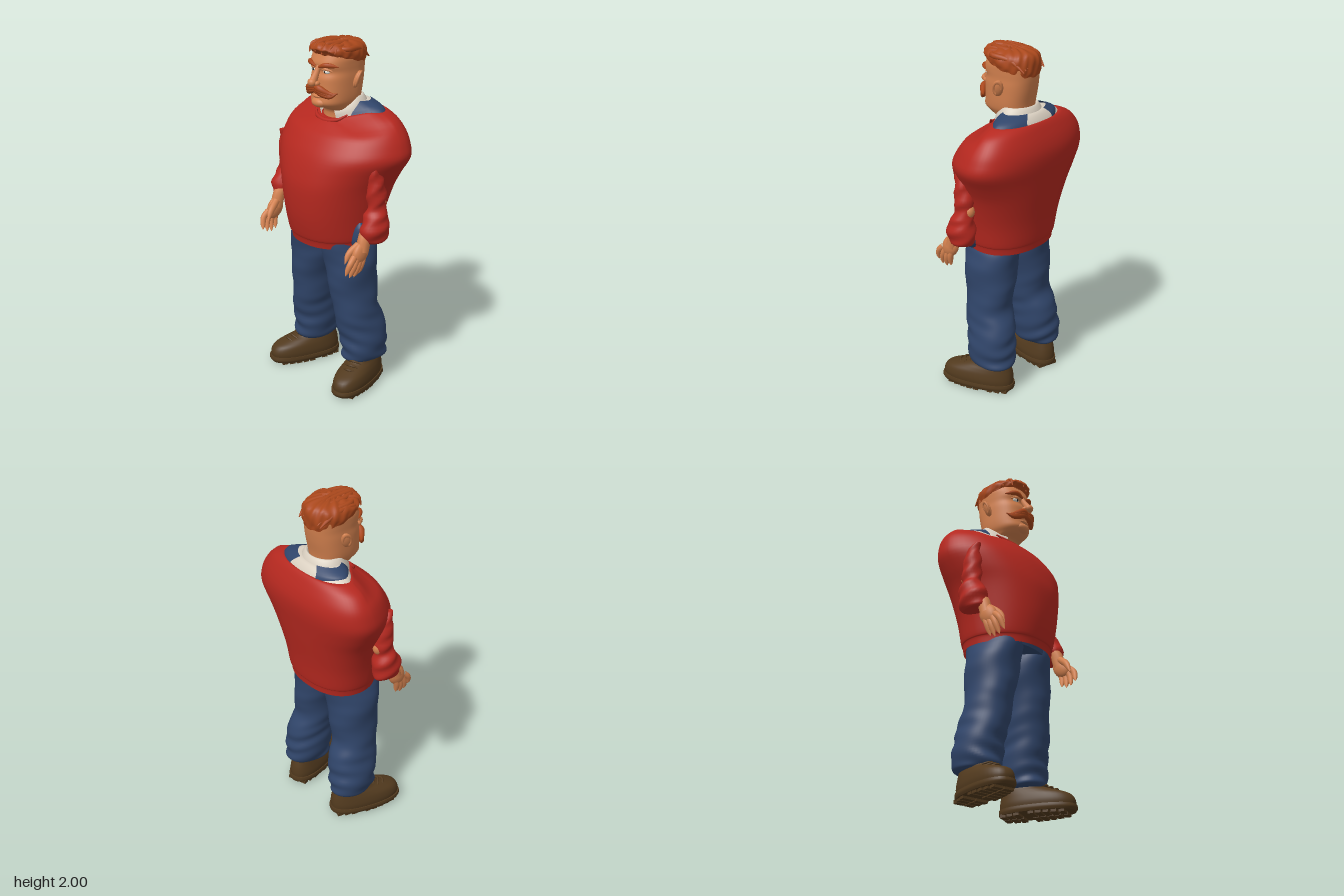
import * as THREE from 'three';

const mat = (name, color, side = THREE.FrontSide) => {
  const m = new THREE.MeshStandardMaterial({ color, side });
  m.name = name;
  return m;
};
const clamp = THREE.MathUtils.clamp;
const spow = (v, p) => Math.sign(v) * Math.abs(v) ** p;

// Smooth loft through rounded sections [y, centreX, halfWidth, zFront, zBack, zWidest], bottom to top.
function loft(sections, { n = 40, sub = 4, p = 1, pf = p, from = 0, to = Math.PI * 2, caps = true, warp } = {}) {
  const rows = [];
  const at = (i) => sections[clamp(i, 0, sections.length - 1)];
  for (let i = 0; i < sections.length - 1; i++) {
    for (let k = 0; k < sub; k++) {
      const t = k / sub;
      rows.push(at(i).map((b, c) => {
        const a = at(i - 1)[c], d = at(i + 1)[c], e = at(i + 2)[c];
        return b + 0.5 * t * (d - a + t * (2 * a - 5 * b + 4 * d - e + t * (3 * (b - d) + e - a)));
      }));
    }
  }
  rows.push(at(sections.length - 1));
  const closed = to - from > 6.28, cols = closed ? n : n + 1;
  const pos = [], idx = [], v = new THREE.Vector3();
  for (const [y, cx, rx, zf, zb, zw] of rows) {
    for (let i = 0; i < cols; i++) {
      const a = from + (to - from) * i / n, s = Math.sin(a);
      v.set(cx + rx * spow(Math.cos(a), p), y, zw + (s > 0 ? (zf - zw) * s ** pf : (zw - zb) * spow(s, p)));
      if (warp) warp(v, a, y);
      pos.push(v.x, v.y, v.z);
    }
  }
  for (let j = 0; j < rows.length - 1; j++) {
    for (let i = 0; i < n; i++) {
      const a = j * cols + i, b = j * cols + (i + 1) % cols;
      idx.push(a, a + cols, b, b, a + cols, b + cols);
    }
  }
  if (closed && caps) {
    for (const [j, top] of [[0, false], [rows.length - 1, true]]) {
      const start = pos.length / 3, c = [0, 0, 0];
      for (let i = 0; i < n * 3; i++) {
        pos.push(pos[j * n * 3 + i]);
        c[i % 3] += pos[j * n * 3 + i] / n;
      }
      pos.push(...c);
      for (let i = 0; i < n; i++) {
        const a = start + i, b = start + (i + 1) % n;
        idx.push(...(top ? [a, start + n, b] : [b, start + n, a]));
      }
    }
  }
  const g = new THREE.BufferGeometry();
  g.setAttribute('position', new THREE.Float32BufferAttribute(pos, 3));
  g.setIndex(idx);
  g.computeVertexNormals();
  return g;
}

// Tube along points whose radius follows a list of radii.
function taper(points, radii, seg = 14) {
  const curve = new THREE.CatmullRomCurve3(points.map((q) => new THREE.Vector3(...q)));
  const g = new THREE.TubeGeometry(curve, seg, 1, 10), pos = g.attributes.position, v = new THREE.Vector3();
  for (let i = 0; i < pos.count; i++) {
    const t = Math.floor(i / 11) / seg, f = t * (radii.length - 1), k = Math.min(Math.floor(f), radii.length - 2);
    const c = curve.getPointAt(t);
    v.fromBufferAttribute(pos, i).sub(c).multiplyScalar(THREE.MathUtils.lerp(radii[k], radii[k + 1], f - k)).add(c);
    pos.setXYZ(i, v.x, v.y, v.z);
  }
  return g;
}
const ball = (x, y, z, rx, ry, rz) => new THREE.SphereGeometry(1, 20, 14).scale(rx, ry, rz).translate(x, y, z);

// Lowers the neckline at the front and pinches it towards the middle.
const neckDip = (pinch) => (v, a, y) => {
  if (y <= 1.5) return;
  v.y -= (y - 1.5) * 0.41 * clamp((v.z + 0.05) / 0.12, 0, 1);
  v.x *= 1 - pinch * clamp((y - 1.53) / 0.08, 0, 1) * clamp((v.z + 0.1) / 0.13, 0, 1);
};

export function createModel() {
  const red = mat('sweaterRed', 0xb5281f, THREE.DoubleSide), denim = mat('denimBlue', 0x30456a, THREE.DoubleSide);
  const skin = mat('skin', 0xd2804e), hair = mat('gingerHair', 0xa9471b), brown = mat('bootBrown', 0x523a1e);
  const cream = mat('shirtCream', 0xd9cfc0, THREE.DoubleSide), white = mat('eyeWhite', 0xe4e0d6), dark = mat('pupilDark', 0x2a2320);
  const model = new THREE.Group();
  model.name = 'man';
  const group = (name) => {
    const g = new THREE.Group();
    g.name = name;
    model.add(g);
    return g;
  };
  const add = (parent, name, geo, m) => {
    const mesh = new THREE.Mesh(geo, m);
    mesh.name = name;
    parent.add(mesh);
    return mesh;
  };

  // Broad sweater: wide across the back, narrowing to the belly, open at the hem
  const torso = group('torso'), warp = neckDip(0.38);
  add(torso, 'sweater', loft([
    [0.868, 0, 0.257, 0.238, -0.2, 0], [0.905, 0, 0.263, 0.246, -0.205, 0], [0.925, 0, 0.273, 0.258, -0.212, 0],
    [1.05, 0, 0.295, 0.283, -0.228, -0.01], [1.2, 0, 0.338, 0.29, -0.255, -0.04], [1.3, 0, 0.388, 0.272, -0.272, -0.06],
    [1.39, 0.008, 0.432, 0.24, -0.286, -0.08], [1.46, 0.004, 0.421, 0.198, -0.288, -0.09], [1.52, 0, 0.393, 0.152, -0.274, -0.1],
    [1.575, 0, 0.345, 0.112, -0.25, -0.1], [1.605, 0, 0.285, 0.088, -0.232, -0.1], [1.614, 0, 0.245, 0.075, -0.218, -0.1],
    [1.6, 0, 0.2, 0.05, -0.2, -0.1]], { n: 64, p: 0.86, pf: 1.18, caps: false, warp }), red);
  add(torso, 'neckband', taper([[-0.125, 1.6, 0.03], [-0.08, 1.568, 0.068], [0, 1.556, 0.085], [0.08, 1.568, 0.068], [0.125, 1.6, 0.03]],
    [0.004, 0.013, 0.013, 0.004]), red);
  const yoke = [[1.59, 0, 0.265, 0.05, -0.225, -0.1], [1.625, 0, 0.23, 0.04, -0.21, -0.1], [1.655, 0, 0.15, 0.03, -0.18, -0.09], [1.65, 0, 0.1, 0.02, -0.13, -0.07]];
  const openFront = (gap) => ({ from: Math.PI / 2 + gap, to: Math.PI * 2.5 - gap });
  add(torso, 'shirtShoulders', loft(yoke, { ...openFront(0.55), warp }), cream);
  const lifted = yoke.slice(0, 3).map(([y, c, r, f, b, w]) => [y + 0.006, c, r + 0.003, f, b - 0.004, w]);
  add(torso, 'leftStrap', loft(lifted, { n: 16, from: -1.12, to: 0.8, warp }), denim);
  add(torso, 'rightStrap', loft(lifted.map(([y, c, r, ...z]) => [y + 0.003, c, Math.min(r, 0.22), ...z]),
    { n: 16, from: Math.PI - 0.8, to: Math.PI + 1.12, warp }), denim);
  add(torso, 'collar', loft([[1.6, 0, 0.16, 0.06, -0.19, -0.05], [1.65, 0, 0.142, 0.065, -0.178, -0.05], [1.685, 0, 0.116, 0.06, -0.155, -0.05],
    [1.67, 0, 0.1, 0.05, -0.14, -0.05]], { ...openFront(0.42), warp: neckDip(0.12) }), cream);
  add(torso, 'hipPocket', loft([[0.885, 0.25, 0.025, 0.1, 0.04, 0.07], [0.93, 0.26, 0.042, 0.11, 0.02, 0.07],
    [1.0, 0.27, 0.033, 0.1, 0.03, 0.07], [1.03, 0.27, 0.01, 0.08, 0.06, 0.07]], { n: 20 }), denim);
  add(torso, 'trouserSeat', loft([[0.872, 0, 0.235, 0.2, -0.175, 0], [0.96, 0, 0.24, 0.21, -0.18, 0]], { p: 0.9 }), denim);

  // Head with square jaw and thick neck
  const head = group('head');
  add(head, 'headAndNeck', loft([
    [1.54, 0, 0.1, 0.05, -0.14, -0.04], [1.605, 0, 0.096, 0.05, -0.13, -0.04], [1.632, 0, 0.097, 0.108, -0.13, -0.03],
    [1.66, 0, 0.11, 0.142, -0.132, -0.02], [1.7, 0, 0.117, 0.138, -0.137, -0.02], [1.76, 0, 0.12, 0.136, -0.15, -0.02],
    [1.8, 0, 0.121, 0.134, -0.157, -0.02], [1.835, 0, 0.12, 0.122, -0.162, -0.02], [1.872, 0, 0.122, 0.135, -0.165, -0.02],
    [1.91, 0, 0.122, 0.124, -0.165, -0.02], [1.95, 0, 0.105, 0.105, -0.145, -0.02], [1.975, 0, 0.05, 0.06, -0.09, -0.02]], { n: 48, p: 0.82 }), skin);
  add(head, 'noseBridge', taper([[0, 1.87, 0.12], [0, 1.83, 0.14], [0, 1.785, 0.168]], [0.012, 0.017, 0.023]), skin);
  add(head, 'noseTip', ball(0, 1.782, 0.173, 0.025, 0.023, 0.025), skin);
  add(head, 'chin', ball(0, 1.664, 0.122, 0.05, 0.028, 0.036), skin);
  add(head, 'lowerLip', ball(0, 1.7, 0.136, 0.035, 0.01, 0.014), skin);
  for (const [s, side] of [[1, 'left'], [-1, 'right']]) {
    add(head, side + 'Nostril', ball(s * 0.022, 1.777, 0.155, 0.013, 0.013, 0.018), skin);
    add(head, side + 'Ear', ball(0, 0, 0, 0.016, 0.05, 0.028), skin).position.set(s * 0.135, 1.79, -0.03);
    head.children.at(-1).rotation.set(-0.2, s * 0.5, -s * 0.2);
    const rim = add(head, side + 'EarRim', new THREE.TorusGeometry(0.022, 0.007, 8, 20, 4.6).scale(1, 1.7, 1).rotateY(Math.PI / 2), skin);
    rim.position.set(s * 0.145, 1.793, -0.033);
    rim.rotation.set(-0.2, s * 0.5, -s * 0.2);
    add(head, side + 'Eye', ball(s * 0.048, 1.838, 0.111, 0.022, 0.012, 0.014), white);
    add(head, side + 'Pupil', ball(s * 0.046, 1.838, 0.121, 0.007, 0.008, 0.006), dark);
    add(head, side + 'Lid', taper([[s * 0.02, 1.845, 0.12], [s * 0.05, 1.853, 0.121], [s * 0.08, 1.843, 0.1]], [0.004, 0.009, 0.004]), skin);
    add(head, side + 'Brow', taper([[s * 0.012, 1.862, 0.136], [s * 0.06, 1.877, 0.128], [s * 0.11, 1.868, 0.08]], [0.006, 0.014, 0.013, 0.002]), hair);
    for (let k = 0; k < 3; k++) {
      add(head, side + 'Moustache', taper([[-s * 0.004, 1.757 - k * 0.009, 0.15], [s * 0.035, 1.752 - k * 0.012, 0.157 - k * 0.003],
        [s * 0.085, 1.724 - k * 0.007, 0.122], [s * 0.113, 1.724 + k * 0.003, 0.094]], [0.013, 0.019, 0.014, 0.002]), hair);
    }
  }

  // Swept hair, cropped at the sides and lower at the back
  add(head, 'hairCap', loft([
    [1.9, 0, 0.124, 0.118, -0.168, -0.02], [1.925, 0, 0.131, 0.132, -0.175, -0.02], [1.952, 0, 0.126, 0.148, -0.172, -0.02],
    [1.976, 0, 0.098, 0.136, -0.145, -0.02], [1.989, 0, 0.058, 0.1, -0.09, -0.01], [1.992, 0, 0.01, 0.02, -0.02, 0]],
  { n: 96, p: 0.92, warp: (v, a, y) => {
    const low = clamp((1.96 - y) / 0.06, 0, 1), r = 1 + 0.014 * (Math.sin(a * 19 + y * 60) + Math.sin(a * 7 - y * 90)) * (y > 1.91 ? 1 : 0);
    v.x *= r;
    v.z *= r;
    v.y += low * (v.z > 0 ? 0.2 * v.z : 0.3 * v.z) + 0.003 * Math.sin(a * 13);
  } }), hair);
  for (let i = 0; i < 11; i++) {
    const x = (i - 5) * 0.021, w = Math.sin(i * 2.4) * 0.016, drop = x * x * 2.6;
    add(head, 'hairLock', taper([[x * 1.08 + w, 1.95 + w - drop, 0.142 - drop * 2.5], [x + w, 1.98 - drop, 0.125 - drop * 2.5], [x - w, 1.985 - drop, 0.02],
      [x * 0.95, 1.968 - drop, -0.09], [x * 0.8, 1.913 - drop, -0.165]], [0.003, 0.016, 0.017, 0.015, 0.003]), hair);
  }

  // Sleeves, forearms and relaxed hands; the right arm hangs slightly higher
  for (const [s, side, dx, dy, dz] of [[1, 'left', 0, 0, 0], [-1, 'right', 0.006, 0.065, 0.015]]) {
    const arm = group(side + 'Arm');
    const X = (x) => s * (x + dx);
    add(arm, side + 'Sleeve', loft([
      [0.945, 0.36, 0.045, 0.11, -0.02, 0.045], [0.965, 0.36, 0.062, 0.128, -0.035, 0.045], [1.03, 0.362, 0.07, 0.132, -0.04, 0.04],
      [1.09, 0.36, 0.062, 0.105, -0.03, 0.035], [1.13, 0.355, 0.048, 0.082, -0.025, 0.03], [1.2, 0.353, 0.05, 0.085, -0.03, 0.03],
      [1.3, 0.353, 0.04, 0.08, -0.005, 0.04], [1.4, 0.355, 0.012, 0.08, 0.04, 0.06]
    ].map(([y, c, r, f, b, w]) => [y + (y > 1.35 ? dy * 0.3 : dy), X(c), r, f + dz, b + dz, w + dz]), { n: 28, warp: (v, a, y) => {
      v.x += 0.005 * Math.sin(y * 75 + a * 2);
      v.z += 0.004 * Math.sin(y * 62 + a);
    } }), red);
    add(arm, side + 'Elbow', ball(X(0.352), 1.145 + dy, -0.008 + dz, 0.03, 0.038, 0.03), skin);
    add(arm, side + 'Forearm', taper([[X(0.325), 1.06 + dy, 0.02 + dz], [X(0.345), 0.985 + dy, 0.1 + dz], [X(0.35), 0.9 + dy, 0.13 + dz]], [0.03, 0.037, 0.036]), skin);
    const palm = add(arm, side + 'Palm', ball(0, 0, 0, 0.031, 0.068, 0.052), skin);
    palm.position.set(X(0.348), 0.895 + dy, 0.14 + dz);
    palm.rotation.x = -0.55;
    for (let k = 0; k < 4; k++) {
      const z = 0.12 + k * 0.022 + dz, reach = [0.012, 0, 0.006, 0.026][k];
      add(arm, side + 'Finger', taper([[X(0.351), 0.885 + dy, z], [X(0.355), 0.825 + dy + reach, z + 0.016 + k * 0.006],
        [X(0.338), 0.759 + dy + reach, z + 0.028 + k * 0.009]], [0.019, 0.0185, 0.0175, 0.0165, 0.013, 0.002]), skin);
    }
    add(arm, side + 'Thumb', taper([[X(0.335), 0.94 + dy, 0.14 + dz], [X(0.318), 0.895 + dy, 0.195 + dz], [X(0.312), 0.84 + dy, 0.222 + dz]],
      [0.021, 0.021, 0.017, 0.002]), skin);
  }

  // Baggy trouser legs with folds gathering towards the cuffs
  for (const [s, side] of [[1, 'left'], [-1, 'right']]) {
    const leg = group(side + 'Leg');
    add(leg, side + 'Trouser', loft([
      [0.155, 0.202, 0.09, 0.085, -0.15, -0.03], [0.18, 0.203, 0.111, 0.1, -0.17, -0.03], [0.27, 0.199, 0.122, 0.11, -0.172, -0.03],
      [0.4, 0.186, 0.121, 0.13, -0.158, -0.01], [0.5, 0.171, 0.117, 0.147, -0.122, 0], [0.6, 0.16, 0.12, 0.157, -0.128, 0.01],
      [0.75, 0.142, 0.136, 0.173, -0.137, 0.02], [0.84, 0.13, 0.13, 0.185, -0.145, 0.02], [0.88, 0.125, 0.121, 0.19, -0.15, 0.02],
      [0.93, 0.12, 0.11, 0.19, -0.15, 0.02]
    ].map(([y, c, ...r]) => [y, s * c, ...r]), { n: 48, sub: 8, p: 0.92, warp: (v, a, y) => {
      const k = 0.001 + 0.007 * clamp((0.5 - y) / 0.3, 0, 1);
      const f = k * Math.sin(y * 66 + Math.cos(a + s) * 3.2) * (0.6 + 0.4 * Math.sin(a * 2 + y * 17)) + 0.003 * Math.sin(y * 27 + a * 2);
      v.x += f * Math.cos(a);
      v.z += f * Math.sin(a);
    } }), denim);
  }

  // Work boots turned outward, with lugged soles and laces
  for (const [s, side] of [[1, 'left'], [-1, 'right']]) {
    const boot = group(side + 'Boot');
    boot.position.set(s * 0.205, 0, -0.05);
    boot.rotation.y = s * 0.29;
    add(boot, side + 'Upper', loft([
      [0.035, 0, 0.09, 0.307, -0.116, 0.1], [0.07, 0, 0.094, 0.312, -0.118, 0.1], [0.108, 0, 0.088, 0.29, -0.114, 0.09],
      [0.136, 0, 0.078, 0.22, -0.107, 0.05], [0.165, 0, 0.068, 0.14, -0.1, 0.01], [0.23, 0, 0.066, 0.1, -0.098, 0]], { p: 0.85 }), brown);
    add(boot, side + 'Sole', loft([[0.014, 0, 0.093, 0.311, -0.121, 0.1], [0.03, 0, 0.099, 0.321, -0.124, 0.1], [0.048, 0, 0.097, 0.318, -0.122, 0.1]],
      { p: 0.82 }), brown);
    for (let i = 0; i < 9; i++) {
      const z = -0.085 + i * 0.042, w = 0.05 + 0.032 * Math.sin(clamp((z + 0.11) / 0.4, 0, 1) * Math.PI);
      if (i === 3) continue;
      for (const x of [-1, 1]) add(boot, side + 'Lug', new THREE.BoxGeometry(w, 0.02, 0.032).translate(x * w * 0.56, 0.01, z), brown);
    }
    for (let i = 0; i < 4; i++) {
      const y = 0.142 + i * 0.014, z = 0.212 - i * 0.03;
      add(boot, side + 'Lace', taper([[-0.045, y - 0.012, z - 0.02], [0, y + 0.002, z], [0.045, y - 0.012, z - 0.02]], [0.005, 0.007, 0.005]), brown);
    }
  }
  return model;
}
